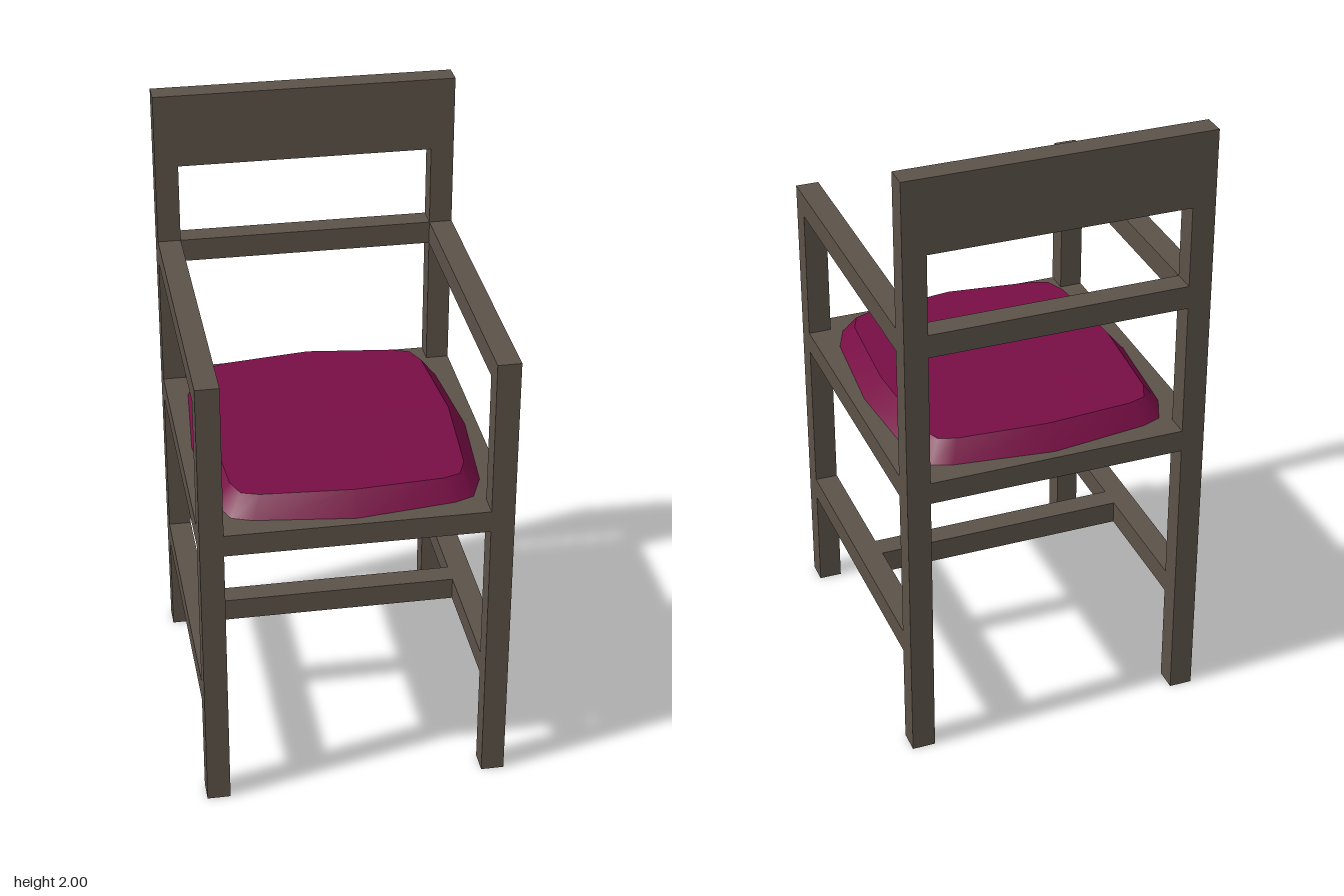
import * as THREE from 'three';
import { toCreasedNormals } from 'three/addons/utils/BufferGeometryUtils.js';

const W = 0.485, D = 0.532, T = 0.074; // half width, half depth, timber thickness

// Seat pad: two rounded outlines joined by a sloping band, closed at top and bottom
function cushionGeometry() {
  // one quarter, front centre to side centre: bottom x, bottom z, top x, top z, top y
  const quarter = [
    [0, 0.505, 0, 0.444, 1.061],
    [0.315, 0.465, 0.285, 0.417, 1.056],
    [0.38, 0.44, 0.34, 0.397, 1.055],
    [0.422, 0.34, 0.366, 0.333, 1.056],
    [0.45, 0, 0.388, 0, 1.061],
  ];
  const ring = [];
  for (const [sx, sz, flip] of [[1, 1, false], [1, -1, true], [-1, -1, false], [-1, 1, true]]) {
    const pts = flip ? [...quarter].reverse() : quarter;
    for (const [bx, bz, tx, tz, ty] of pts.slice(0, 4)) {
      ring.push({ b: [sx * bx, 0.985, sz * bz], t: [sx * tx, ty, sz * tz] });
    }
  }
  const pos = [];
  ring.forEach((p, i) => {
    const q = ring[(i + 1) % ring.length];
    pos.push(...p.b, ...q.b, ...q.t, ...p.b, ...q.t, ...p.t);
    pos.push(0, 1.061, 0, ...p.t, ...q.t);
    pos.push(0, 0.985, 0, ...q.b, ...p.b);
  });
  const geo = new THREE.BufferGeometry();
  geo.setAttribute('position', new THREE.Float32BufferAttribute(pos, 3));
  return toCreasedNormals(geo, 0.66);
}

export function createModel() {
  const model = new THREE.Group();
  model.name = 'armchair';
  const wood = new THREE.MeshStandardMaterial({ name: 'dark wood', color: 0x5b5248 });
  const fabric = new THREE.MeshStandardMaterial({ name: 'crimson fabric', color: 0x780e45 });

  // Box given by its limits on each axis
  function beam(name, x0, x1, y0, y1, z0, z1) {
    const mesh = new THREE.Mesh(new THREE.BoxGeometry(x1 - x0, y1 - y0, z1 - z0), wood);
    mesh.position.set((x0 + x1) / 2, (y0 + y1) / 2, (z0 + z1) / 2);
    mesh.name = name;
    model.add(mesh);
  }

  // Legs, armrests and side stretchers, mirrored
  for (const [side, s] of [['left', 1], ['right', -1]]) {
    const x0 = s > 0 ? W - T : -W, x1 = x0 + T;
    beam(side + 'FrontLeg', x0, x1, 0, 1.425, D - T, D);
    beam(side + 'BackLeg', x0, x1, 0, 1.76, -D, -D + T);
    beam(side + 'Armrest', x0, x1, 1.425, 1.5, -D + T, D);
    beam(side + 'Stretcher', x0, x1, 0.34, 0.415, -D + T, D - T);
    beam(side + 'SeatRail', x0, x1, 0.92, 0.992, -D + T, D - T);
  }

  // Seat board between the side rails, reaching the front and back faces
  const inner = W - T;
  beam('seatBoard', -inner, inner, 0.92, 0.992, -D, D);

  // Cross stretcher, back rail and headboard
  beam('crossStretcher', -inner, inner, 0.34, 0.415, -T / 2, T / 2);
  beam('backRail', -inner, inner, 1.425, 1.5, -D, -D + T);
  beam('backPanel', -W, W, 1.76, 2, -D, -D + T);

  // Cushion
  const cushion = new THREE.Mesh(cushionGeometry(), fabric);
  cushion.name = 'seatCushion';
  model.add(cushion);

  return model;
}
